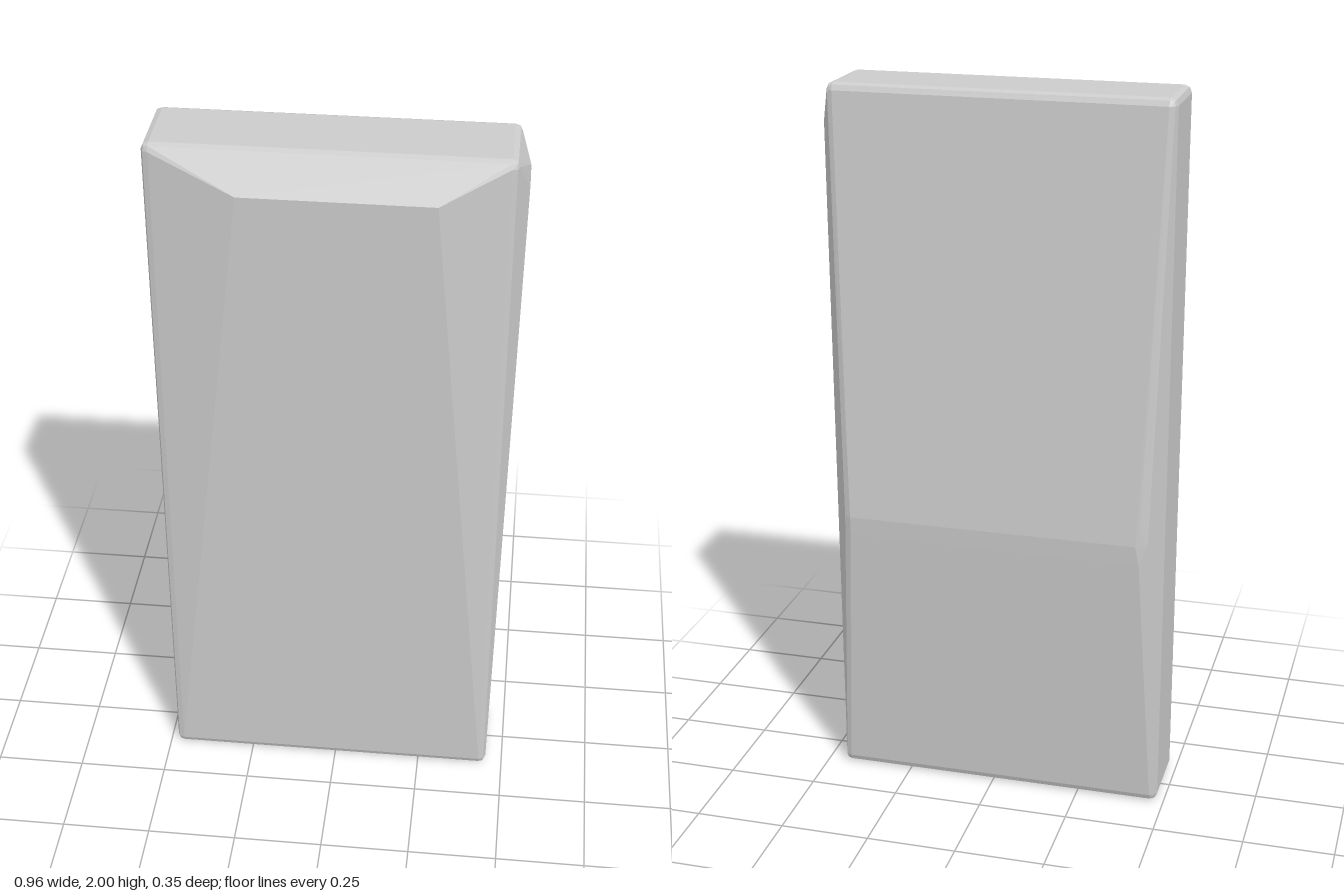
import * as THREE from 'three';
import { ConvexGeometry } from 'three/addons/geometries/ConvexGeometry.js';

export function createModel() {
  const group = new THREE.Group();
  const points = [];
  const add = (x, y, z) => points.push(new THREE.Vector3(x, y, z));

  // Rounded corners of the core slab: a small sphere octant at each corner
  const core = new THREE.Box3(new THREE.Vector3(-0.48, 0, -0.107), new THREE.Vector3(0.452, 2, 0.125));
  const r = 0.02;
  const steps = [[1, 0, 0], [0, 1, 0], [0, 0, 1], [0.71, 0.71, 0], [0.71, 0, 0.71], [0, 0.71, 0.71], [0.58, 0.58, 0.58]];
  for (const sx of [-1, 1]) for (const sy of [-1, 1]) for (const sz of [-1, 1]) {
    const edge = (axis, s) => (s > 0 ? core.max[axis] : core.min[axis]) - s * r;
    for (const [x, y, z] of steps) {
      add(edge('x', sx) + sx * r * x, edge('y', sy) + sy * r * y, edge('z', sz) + sz * r * z);
    }
  }

  // Front crest near the top, tapering down to the base
  add(-0.24, 1.895, 0.175);
  add(0.26, 1.895, 0.175);

  // Back ridge below mid-height, with softened ends
  for (const y of [0.755, 0.865]) {
    add(-0.425, y, -0.172);
    add(0.39, y, -0.172);
  }
  add(-0.415, 0.81, -0.176);
  add(0.39, 0.81, -0.176);
  add(-0.447, 0.81, -0.166);
  add(0.407, 0.81, -0.168);

  // Shallow bulge high on the left side
  add(0.477, 1.935, 0);
  add(0.478, 1.89, 0.04);
  add(0.478, 1.89, -0.03);
  add(0.472, 1.89, -0.06);

  const slab = new THREE.Mesh(
    new ConvexGeometry(points),
    new THREE.MeshStandardMaterial({ color: 0xcccccc, flatShading: true })
  );
  slab.name = 'facetedSlab';
  group.add(slab);
  return group;
}
